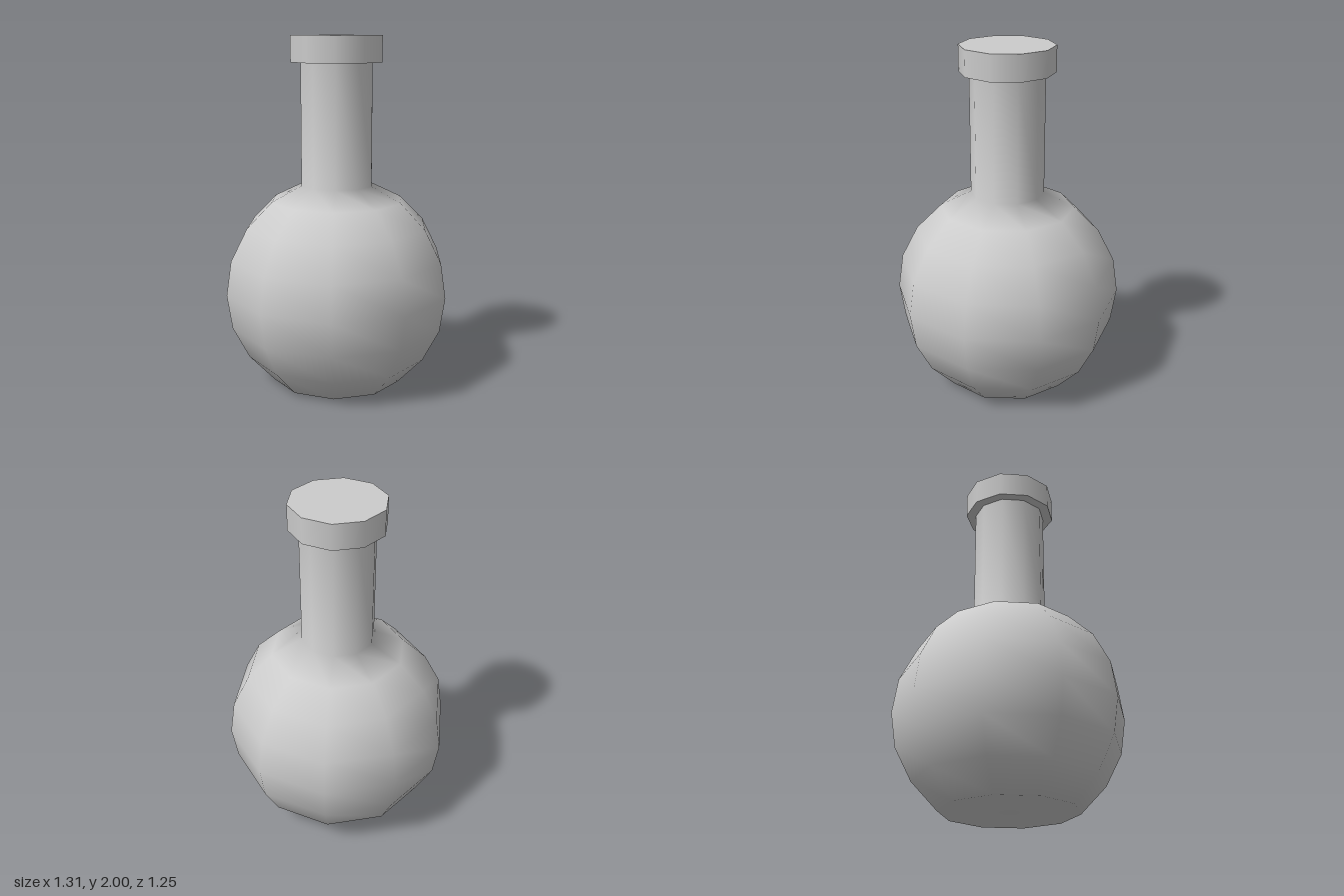
import * as THREE from 'three';

const SIDES = 10;
const material = new THREE.MeshStandardMaterial({ color: 0xcccccc });

export function createModel() {
  const group = new THREE.Group();
  group.name = 'flask';

  const add = (name, geometry, y = 0) => {
    const mesh = new THREE.Mesh(geometry, material);
    mesh.name = name;
    mesh.position.y = y;
    group.add(mesh);
  };

  // Ten-sided round body with a flat base, flowing into a straight neck
  const profile = [
    [0, 0], [0.385, 0], [0.53, 0.155], [0.625, 0.34], [0.655, 0.54],
    [0.625, 0.74], [0.53, 0.925], [0.385, 1.07], [0.21, 1.157], [0.21, 1.86],
  ].map(([r, y]) => new THREE.Vector2(r, y));
  add('bodyAndNeck', new THREE.LatheGeometry(profile, SIDES, Math.PI / 2));

  // Wider stopper closing the neck
  add('stopper', new THREE.CylinderGeometry(0.267, 0.267, 0.147, SIDES, 1, false, Math.PI / 2), 1.9265);

  return group;
}
